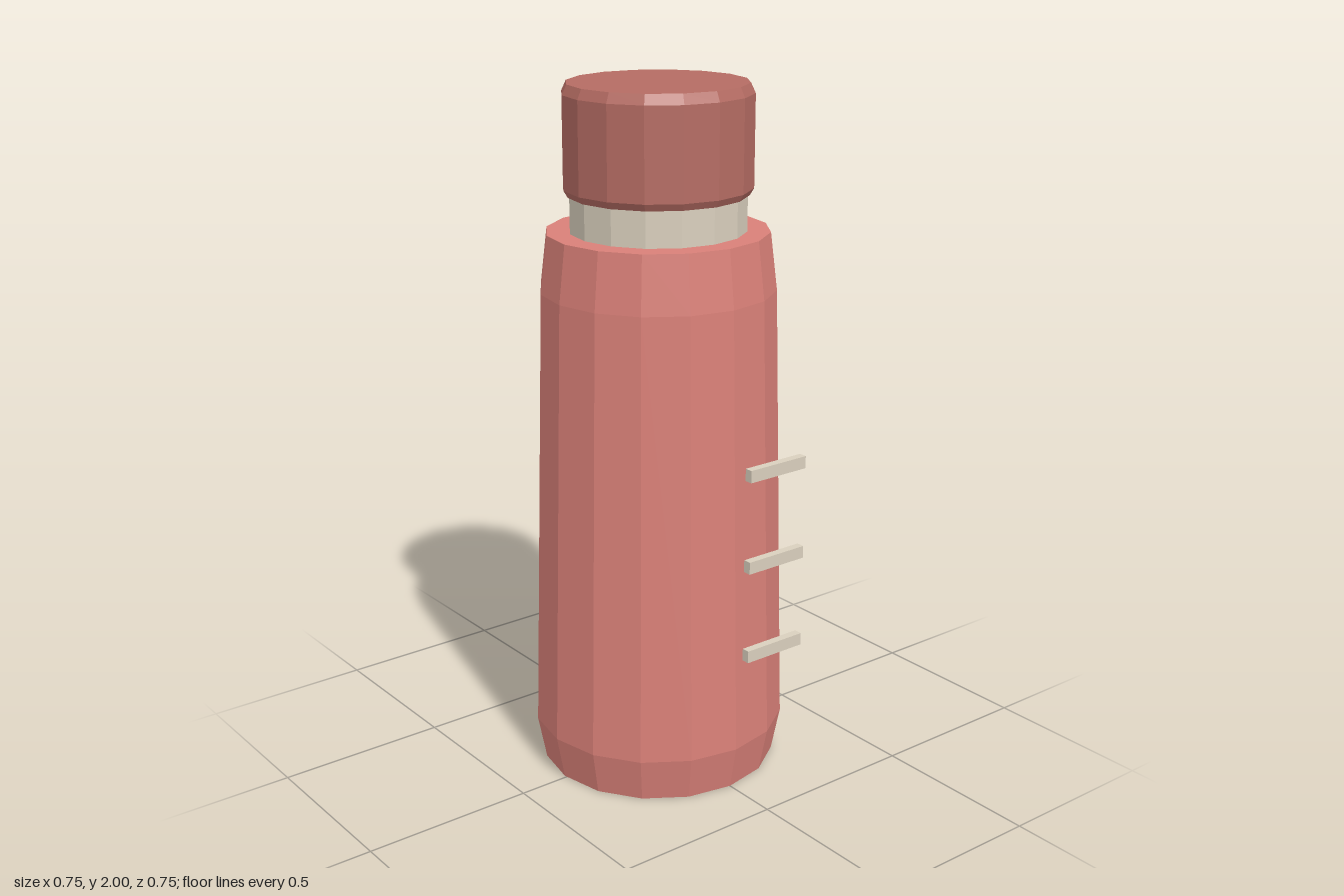
import * as THREE from 'three';

const SIDES = 16;

function flat(name, color) {
  const m = new THREE.MeshStandardMaterial({ color, flatShading: true });
  m.name = name;
  return m;
}

export function createModel() {
  const group = new THREE.Group();
  group.name = 'bottle';
  const coral = flat('coral', 0xd98078);
  const darkCoral = flat('dark coral', 0xb56c63);
  const cream = flat('cream', 0xd9cfbd);

  // Turned parts, slightly flattened front to back
  const turned = new THREE.Group();
  turned.name = 'turnedParts';
  turned.scale.z = 0.985;
  turned.position.z = -0.008;
  group.add(turned);

  // Profile points are [radius, height], listed from the bottom up
  function turn(name, profile, material) {
    const points = profile.map(([r, y]) => new THREE.Vector2(r, y));
    const mesh = new THREE.Mesh(new THREE.LatheGeometry(points, SIDES), material);
    mesh.name = name;
    turned.add(mesh);
  }

  // Tapered body with chamfered foot and shoulder
  turn('body', [[0, 0], [0.348, 0], [0.373, 0.13], [0.336, 1.43], [0.316, 1.594], [0, 1.594]], coral);

  // Neck ring between body and cap
  turn('neck', [[0.25, 1.59], [0.25, 1.7]], cream);

  // Cap with chamfered rims
  turn('cap', [[0, 1.695], [0.255, 1.695], [0.267, 1.715], [0.267, 1.972], [0.254, 2], [0, 2]], darkCoral);

  // Three level marks on the front
  [0.42, 0.693, 0.965].forEach((y, i) => {
    const mark = new THREE.Mesh(new THREE.BoxGeometry(0.2, 0.036, 0.024), cream);
    mark.name = `levelMark${i + 1}`;
    mark.position.set(0.129, y, 0.36);
    group.add(mark);
  });

  return group;
}
